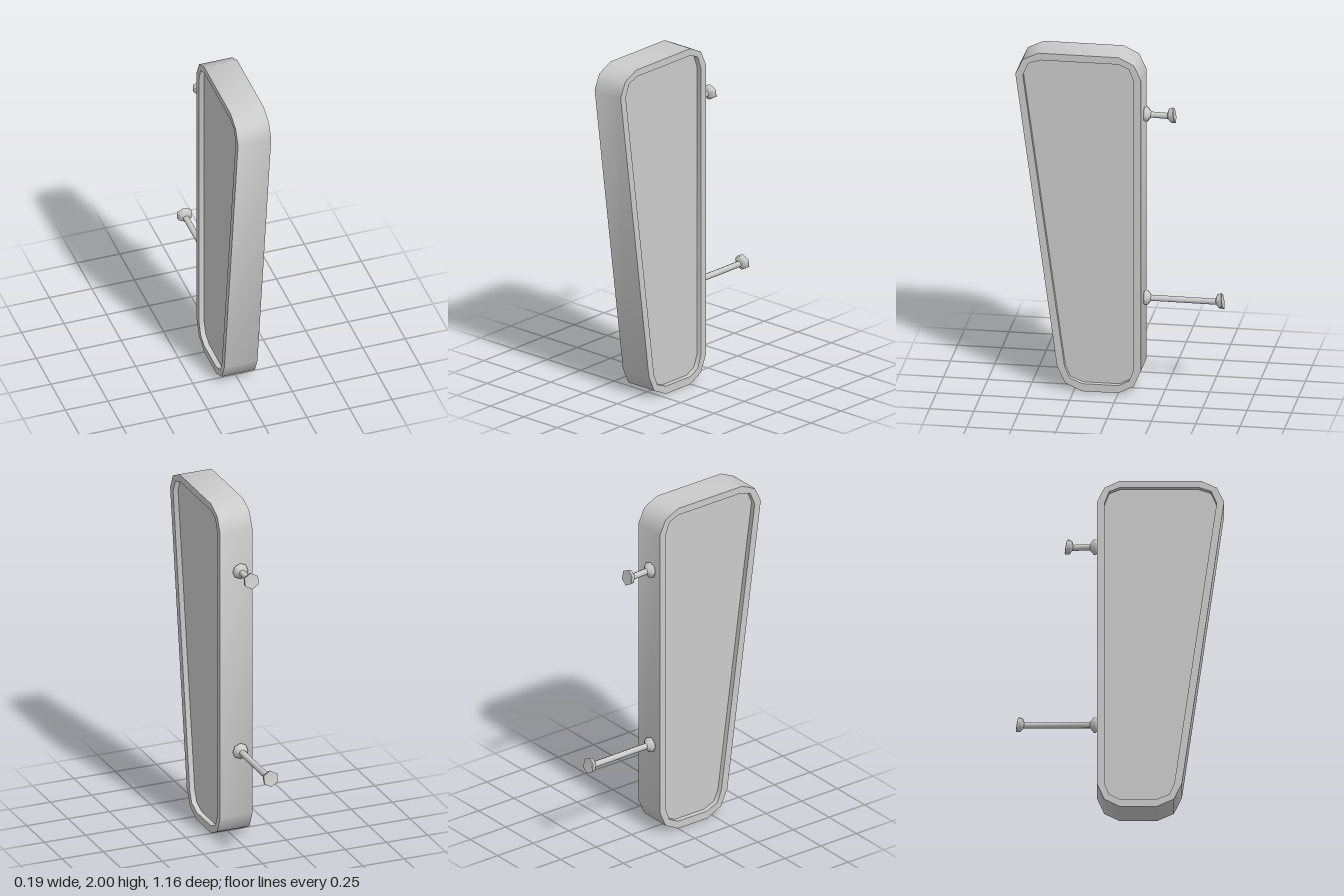
import * as THREE from 'three';
import { toCreasedNormals } from 'three/addons/utils/BufferGeometryUtils.js';

const material = new THREE.MeshStandardMaterial({ color: 0xcccccc });

// Side outlines as [z, y] points
const OUTER = [[0, 0], [0.205, 0], [0.3, 0.045], [0.345, 0.14], [0.58, 1.87], [0.54, 1.957],
  [0.45, 2], [0, 2], [-0.087, 1.957], [-0.128, 1.87], [-0.128, 0.14], [-0.087, 0.045]];
const INNER = [[0, 0.045], [0.203, 0.045], [0.275, 0.075], [0.303, 0.143], [0.538, 1.862], [0.508, 1.935],
  [0.44, 1.959], [0, 1.959], [-0.06, 1.933], [-0.086, 1.862], [-0.086, 0.143], [-0.06, 0.075]];

const points = (list) => list.map(([z, y]) => new THREE.Vector2(z, y));

// Extrudes a side outline across x, centred on x = 0
function slab(name, shape, width) {
  const geometry = new THREE.ExtrudeGeometry(shape, { depth: width, bevelEnabled: false });
  geometry.translate(0, 0, -width / 2);
  geometry.rotateY(-Math.PI / 2);
  const mesh = new THREE.Mesh(toCreasedNormals(geometry, 0.8), material);
  mesh.name = name;
  return mesh;
}

// Turned part whose axis points backward, tilted up by `tilt`
function turned(name, profile, sides, y, z, tilt = 0) {
  const geometry = toCreasedNormals(new THREE.LatheGeometry(points(profile), sides), 1.1);
  const mesh = new THREE.Mesh(geometry, material);
  mesh.name = name;
  mesh.position.set(-0.02, y, z);
  mesh.rotation.x = -Math.PI / 2 + tilt;
  return mesh;
}

// Rod with a flange at the wall and a tilted hollow cup at its end
function mountingRod(name, y, length, drop) {
  const group = new THREE.Group();
  group.name = name;
  const startZ = -0.125;
  group.add(
    turned('rodFlange', [[0, 0], [0.036, 0], [0.046, 0.012], [0.044, 0.022], [0.018, 0.042]], 8, y, startZ),
    turned('rod', [[0.018, 0], [0.018, length]], 8, y, startZ, -drop / length),
    turned('rodCup', [[0, -0.004], [0.018, -0.004], [0.042, 0.01], [0.047, 0.034], [0.038, 0.036], [0, 0.016]],
      6, y - drop, startZ - length, 0.18),
  );
  return group;
}

export function createModel() {
  const model = new THREE.Group();
  model.name = 'taperedPanelWithRods';

  // Rim around the recessed panel
  const rim = new THREE.Shape(points(OUTER));
  rim.holes.push(new THREE.Path(points(INNER)));
  model.add(slab('rim', rim, 0.195));
  model.add(slab('recessedPanel', new THREE.Shape(points(INNER)), 0.135));

  // Two mounting rods on the back edge
  model.add(mountingRod('upperRod', 1.628, 0.14, 0.004));
  model.add(mountingRod('lowerRod', 0.535, 0.412, 0.002));
  return model;
}
